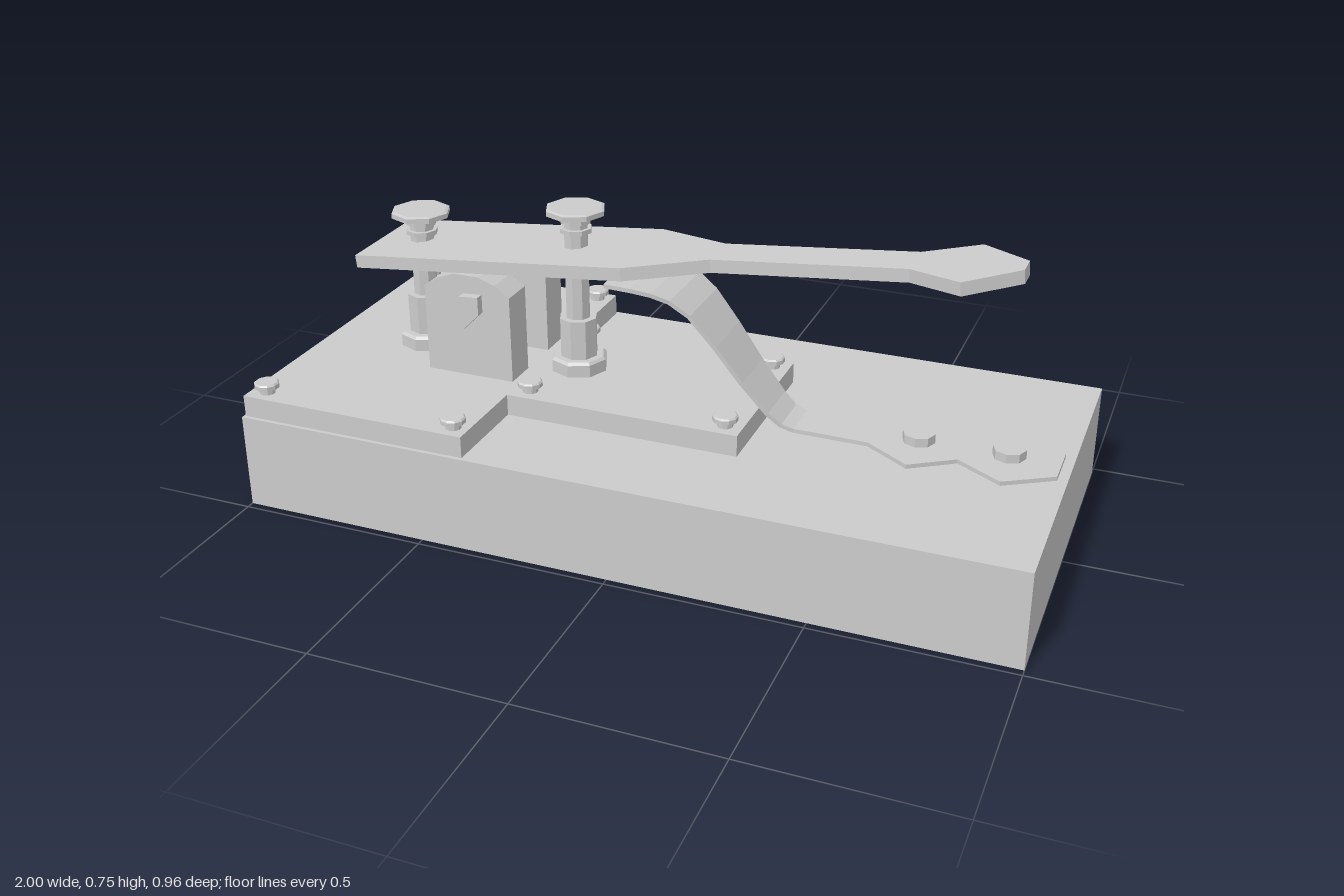
import * as THREE from 'three';

const mat = new THREE.MeshStandardMaterial({ color: 0xcccccc, flatShading: true });

function add(parent, name, geometry, x = 0, y = 0, z = 0) {
  const mesh = new THREE.Mesh(geometry, mat);
  mesh.name = name;
  mesh.position.set(x, y, z);
  parent.add(mesh);
  return mesh;
}

function polygon(points) {
  return new THREE.Shape(points.map(([x, y]) => new THREE.Vector2(x, y)));
}

function extrude(points, depth) {
  return new THREE.ExtrudeGeometry(polygon(points), { depth, bevelEnabled: false });
}

function lathe(points, sides) {
  const geometry = new THREE.LatheGeometry(points.map(([r, y]) => new THREE.Vector2(r, y)), sides);
  return geometry;
}

// Flat strip running along x: rows of [x, top y, half width], swept with a given thickness
function strip(rows, thickness) {
  const positions = [], index = [];
  rows.forEach(([x, y, w], i) => {
    const [x0, y0] = rows[Math.max(i - 1, 0)];
    const [x1, y1] = rows[Math.min(i + 1, rows.length - 1)];
    const len = Math.hypot(x1 - x0, y1 - y0);
    const bx = x + ((y1 - y0) / len) * thickness;
    const by = y - ((x1 - x0) / len) * thickness;
    positions.push(x, y, -w, x, y, w, bx, by, w, bx, by, -w);
  });
  for (let i = 0; i < rows.length - 1; i++) {
    for (let k = 0; k < 4; k++) {
      const a = i * 4 + k, b = i * 4 + (k + 1) % 4;
      index.push(a, b, b + 4, a, b + 4, a + 4);
    }
  }
  const e = (rows.length - 1) * 4;
  index.push(0, 3, 2, 0, 2, 1, e, e + 1, e + 2, e, e + 2, e + 3);
  const geometry = new THREE.BufferGeometry();
  geometry.setAttribute('position', new THREE.Float32BufferAttribute(positions, 3));
  geometry.setIndex(index);
  const flat = geometry.toNonIndexed();
  flat.computeVertexNormals();
  return flat;
}

// Threaded post with foot collar, sleeve, rod, lock nut and thumb head
function post(name, x, top) {
  const group = new THREE.Group();
  group.name = name;
  group.position.set(x, 0, 0);
  add(group, 'postBase', lathe([
    [0, 0.3], [0.075, 0.3], [0.075, 0.338], [0.068, 0.345], [0.05, 0.345], [0.05, 0.45], [0, 0.45],
  ], 8));
  add(group, 'postRod', new THREE.CylinderGeometry(0.032, 0.032, top - 0.45, 8), 0, (top + 0.43) / 2, 0);
  add(group, 'lockNut', new THREE.CylinderGeometry(0.042, 0.042, 0.012, 8), 0, top - 0.06, 0);
  add(group, 'thumbHead', lathe([
    [0, top - 0.04], [0.04, top - 0.04], [0.04, top - 0.018], [0.078, top - 0.016],
    [0.078, top - 0.003], [0.07, top], [0, top],
  ], 8));
  return group;
}

export function createModel() {
  const model = new THREE.Group();

  // Base block and T-shaped mounting plate
  add(model, 'baseBlock', new THREE.BoxGeometry(2, 0.25, 0.96), 0, 0.125, 0);
  const plate = extrude([
    [-0.995, -0.47], [-0.38, -0.47], [-0.38, -0.222], [0.235, -0.222],
    [0.235, 0.222], [-0.38, 0.222], [-0.38, 0.47], [-0.995, 0.47],
  ], 0.056);
  plate.rotateX(-Math.PI / 2);
  add(model, 'mountingPlate', plate, 0, 0.25, 0);

  // Plate screws, mirrored front and back
  const screw = lathe([
    [0, 0], [0.02, 0], [0.02, 0.017], [0.032, 0.017], [0.032, 0.028], [0.028, 0.032], [0, 0.032],
  ], 10);
  for (const [x, z] of [[-0.95, 0.43], [-0.42, 0.43], [-0.335, 0.18], [0.19, 0.18]]) {
    for (const side of [-1, 1]) add(model, 'plateScrew', screw, x, 0.305, side * z);
  }

  // Pivot bracket cheeks with bolt heads and a cross pin
  const cheek = extrude([
    [-0.64, 0.3], [-0.4, 0.3], [-0.4, 0.537], [-0.44, 0.565], [-0.485, 0.582],
    [-0.555, 0.582], [-0.6, 0.565], [-0.64, 0.537],
  ], 0.09);
  const bolt = extrude([
    [-0.048, -0.048], [0.002, -0.046], [0.048, 0], [0.048, 0.048], [-0.005, 0.044], [-0.048, -0.002],
  ], 0.03);
  for (const side of [-1, 1]) {
    add(model, 'bracketCheek', cheek, 0, 0, side > 0 ? 0.06 : -0.15);
    add(model, 'pivotBolt', bolt, -0.525, 0.488, side > 0 ? 0.143 : -0.173);
  }
  const pin = new THREE.CylinderGeometry(0.04, 0.04, 0.2, 8);
  pin.rotateX(Math.PI / 2);
  add(model, 'pivotPin', pin, -0.525, 0.488, 0);

  // Adjusting posts
  model.add(post('rearPost', -0.725, 0.683));
  model.add(post('middlePost', -0.28, 0.748));

  // Sloping lever with a waisted arm and a finger pad
  const lever = [
    [-0.843, 0.144], [-0.1, 0.144], [0.1, 0.058], [0.59, 0.058], [0.725, 0.127], [0.85, 0.03],
  ].map(([x, w]) => [x, 0.671 + 0.098 * x, w]);
  add(model, 'lever', strip(lever, 0.034));

  // Leaf spring: curved tongue running down into a scalloped foot
  add(model, 'leafSpring', strip([
    [-0.148, 0.608, 0.132], [-0.08, 0.604, 0.128], [-0.03, 0.594, 0.116], [0.015, 0.577, 0.104],
    [0.065, 0.542, 0.095], [0.13, 0.465, 0.086], [0.197, 0.376, 0.077], [0.262, 0.3, 0.067],
    [0.295, 0.272, 0.06], [0.325, 0.262, 0.055], [0.37, 0.262, 0.055], [0.515, 0.262, 0.057],
    [0.63, 0.262, 0.133], [0.738, 0.262, 0.062], [0.855, 0.262, 0.133], [0.975, 0.262, 0.06],
  ], 0.011));

  // Screws holding the spring foot
  for (const x of [0.628, 0.85]) {
    add(model, 'springScrew', new THREE.CylinderGeometry(0.041, 0.041, 0.025, 8), x, 0.273, 0);
  }

  return model;
}
